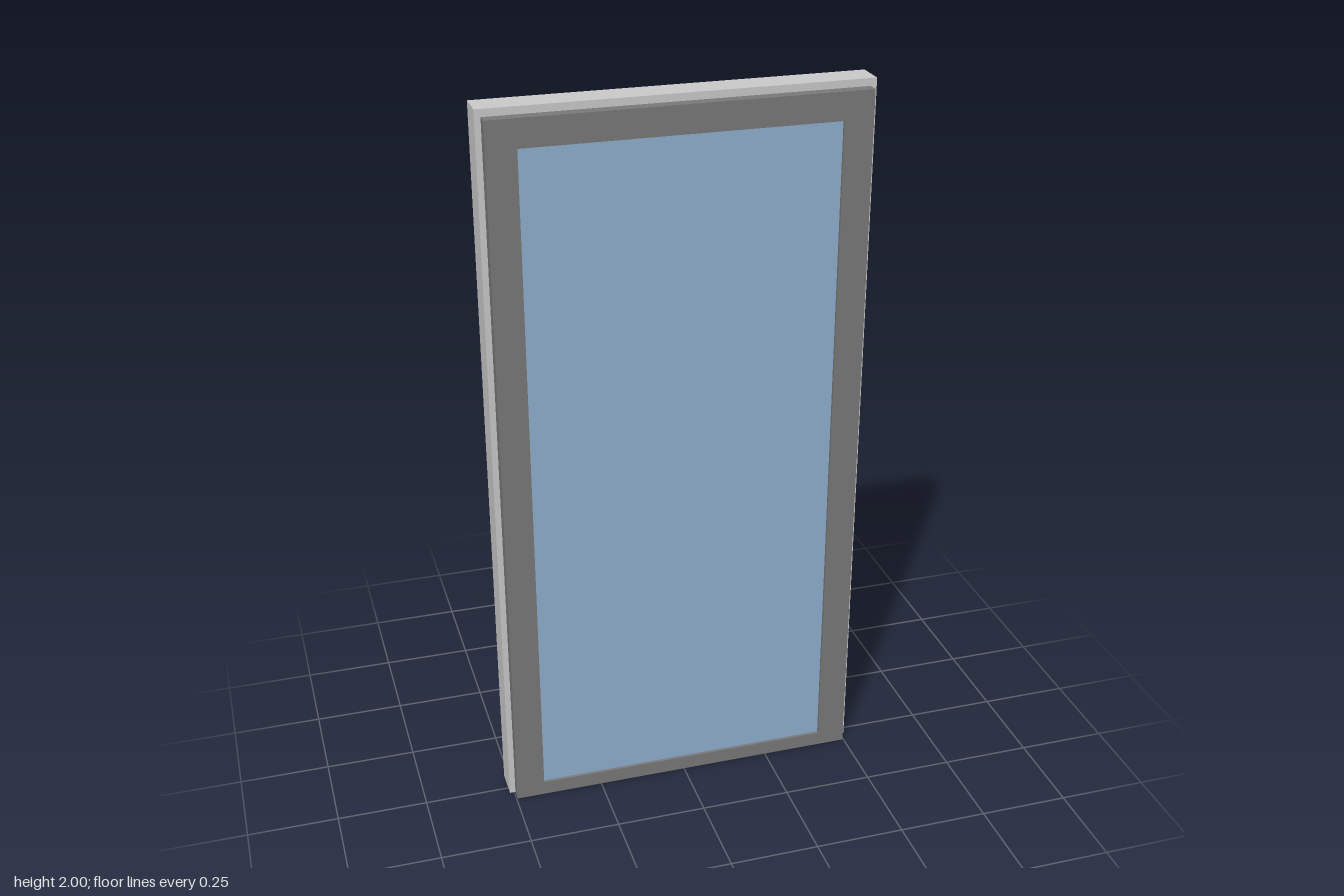
import * as THREE from 'three';

const HALF_W = 0.513;   // outer half width of the channel framework
const CH = 0.034;       // channel width across its flanges
const BACK = -0.06;
const FRONT = 0.024;
const LEAF_FRONT = 0.056;
const T = 0.002;        // sheet thickness

const steel = new THREE.MeshStandardMaterial({ color: 0xcccccc });
const dark = new THREE.MeshStandardMaterial({ color: 0x7a7a7a });
const blue = new THREE.MeshStandardMaterial({ color: 0x92b1d0 });

function box(name, material, x0, x1, y0, y1, z0, z1) {
  const mesh = new THREE.Mesh(new THREE.BoxGeometry(x1 - x0, y1 - y0, z1 - z0), material);
  mesh.position.set((x0 + x1) / 2, (y0 + y1) / 2, (z0 + z1) / 2);
  mesh.name = name;
  return mesh;
}

// U-shaped channel running along y, web towards +z, open towards -z
function channel(name, length) {
  const h = CH / 2;
  const s = new THREE.Shape([
    [-h, -FRONT], [h, -FRONT], [h, -BACK], [h - T, -BACK],
    [h - T, -FRONT + T], [-h + T, -FRONT + T], [-h + T, -BACK], [-h, -BACK],
  ].map(([x, y]) => new THREE.Vector2(x, y)));
  const g = new THREE.ExtrudeGeometry(s, { depth: length, bevelEnabled: false });
  g.rotateX(-Math.PI / 2);
  const mesh = new THREE.Mesh(g, steel);
  mesh.name = name;
  return mesh;
}

export function createModel() {
  const model = new THREE.Group();
  model.name = 'framedPanel';

  // Upright channels, closed at the top
  for (const side of [-1, 1]) {
    const label = side > 0 ? 'left' : 'right';
    const post = channel(label + 'Post', 2 - T);
    const x = side * (HALF_W - CH / 2);
    post.position.x = x;
    model.add(post);
    model.add(box(label + 'PostCap', steel, x - CH / 2, x + CH / 2, 2 - T, 2, BACK, FRONT));
  }

  // Header and three cross rails between the uprights
  const inner = HALF_W - CH;
  const rails = [['header', 2 - CH / 2], ['upperRail', 1.57], ['middleRail', 1.035], ['lowerRail', 0.5]];
  for (const [name, y] of rails) {
    const rail = channel(name, inner * 2);
    rail.rotation.z = Math.PI / 2;
    rail.position.set(inner, y, 0);
    model.add(rail);
  }

  // Dark surround with a rectangular opening
  const w = 0.497, top = 1.98;
  const ow = 0.418, oBottom = 0.04, oTop = 1.905;
  const outline = new THREE.Shape();
  outline.moveTo(-w, 0).lineTo(w, 0).lineTo(w, top).lineTo(-w, top).closePath();
  const opening = new THREE.Path();
  opening.moveTo(-ow, oBottom).lineTo(-ow, oTop).lineTo(ow, oTop).lineTo(ow, oBottom).closePath();
  outline.holes.push(opening);
  const surround = new THREE.Mesh(
    new THREE.ExtrudeGeometry(outline, { depth: LEAF_FRONT - FRONT, bevelEnabled: false }), dark);
  surround.position.z = FRONT;
  surround.name = 'surround';
  model.add(surround);

  // Pane set back inside the opening
  model.add(box('pane', blue, -ow, ow, oBottom, oTop, 0.041, 0.047));

  return model;
}
